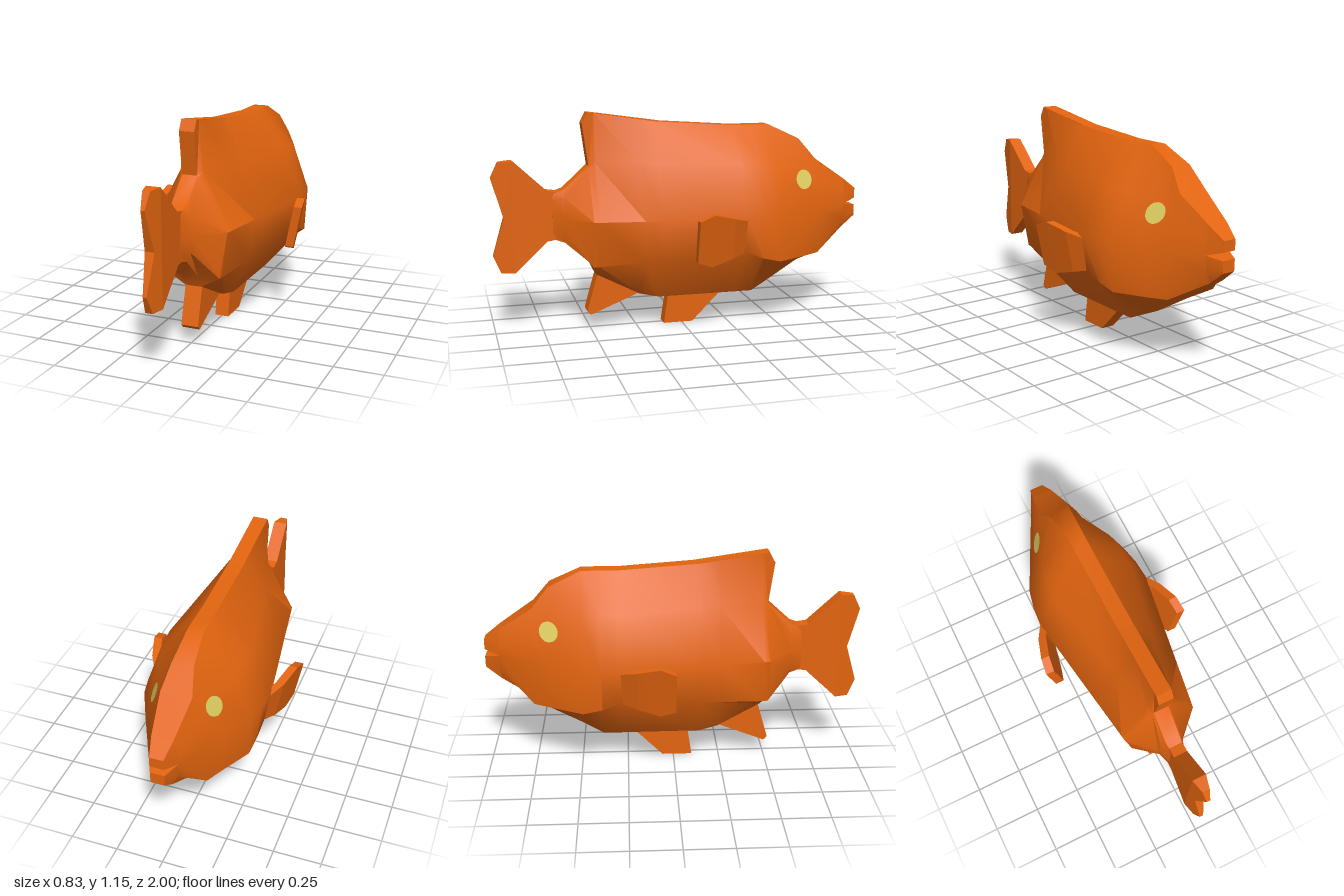
import * as THREE from 'three';
import { toCreasedNormals } from 'three/addons/utils/BufferGeometryUtils.js';

const scales = new THREE.MeshStandardMaterial({ color: 0xe2640f });
scales.name = 'orangeScales';
const eyeYellow = new THREE.MeshStandardMaterial({ color: 0xdccb60, side: THREE.DoubleSide });
eyeYellow.name = 'eyeYellow';

// Skin a list of closed rings of [x, y, z] points, ordered by rising z
function loft(rings, crease) {
  const n = rings[0].length, index = [];
  for (let k = 0; k < rings.length - 1; k++) {
    for (let i = 0; i < n; i++) {
      const a = k * n + i, c = k * n + (i + 1) % n;
      index.push(a, a + n, c, c, a + n, c + n);
    }
  }
  const last = (rings.length - 1) * n;
  for (let i = 1; i < n - 1; i++) {
    index.push(0, i, i + 1, last, last + i + 1, last + i);
  }
  const g = new THREE.BufferGeometry();
  g.setAttribute('position', new THREE.Float32BufferAttribute(rings.flat(2), 3));
  g.setIndex(index);
  return toCreasedNormals(g, crease);
}

// Full ring from the +x half of a cross-section, listed from top to bottom
function ring(z, half) {
  const left = half.map(([x, y]) => [x, y, z]);
  return [...left, ...left.map(([x, y]) => [-x, y, z]).reverse()];
}

// Upright slab cut from a [z, y] outline, halfWidth either side of the middle
function slab(outline, halfWidth) {
  const shape = new THREE.Shape(outline.map(([z, y]) => new THREE.Vector2(-z, y)));
  const g = new THREE.ExtrudeGeometry(shape, { depth: 2 * halfWidth, bevelEnabled: false });
  return g.translate(0, 0, -halfWidth).rotateY(Math.PI / 2);
}

export function createModel() {
  const model = new THREE.Group();
  model.name = 'fish';
  const add = (name, geometry, material = scales) => {
    const mesh = new THREE.Mesh(geometry, material);
    mesh.name = name;
    model.add(mesh);
  };

  // Body stations: z, ridge x y, shoulder x y, flank x, lower edge x y, belly x y
  const stations = [
    [-0.92, 0.055, 0.76, 0.07, 0.69, 0.075, 0.065, 0.54, 0.04, 0.48],
    [-0.74, 0.08, 0.88, 0.125, 0.76, 0.165, 0.145, 0.37, 0.05, 0.365],
    [-0.65, 0.055, 0.99, 0.12, 0.84, 0.21, 0.185, 0.365, 0.06, 0.315],
    [-0.48, 0.04, 1.07, 0.2, 0.86, 0.29, 0.275, 0.365, 0.08, 0.22],
    [-0.38, 0.04, 1.07, 0.215, 0.88, 0.312, 0.285, 0.39, 0.09, 0.165],
    [-0.28, 0.04, 1.07, 0.22, 0.88, 0.32, 0.29, 0.43, 0.09, 0.165],
    [0.14, 0.04, 1.1, 0.14, 0.88, 0.255, 0.222, 0.395, 0.085, 0.165],
    [0.24, 0.04, 1.115, 0.115, 0.89, 0.24, 0.205, 0.387, 0.07, 0.185],
    [0.47, 0.04, 1.15, 0.06, 0.9, 0.205, 0.16, 0.367, 0.045, 0.3],
    [0.5, 0.04, 0.88, 0.05, 0.87, 0.2, 0.155, 0.367, 0.04, 0.363],
    [0.63, 0.04, 0.76, 0.06, 0.72, 0.07, 0.06, 0.53, 0.04, 0.48],
    [0.69, 0.035, 0.74, 0.038, 0.7, 0.04, 0.038, 0.55, 0.035, 0.5],
  ];
  add('body', loft(stations.map(([z, rx, ry, sx, sy, fx, ex, ey, bx, by]) =>
    ring(z, [[rx, ry], [sx, sy], [fx, 0.61], [ex, ey], [bx, by]])), 0.6));

  // Jaws either side of the open mouth
  add('upperJaw', loft([
    ring(-1, [[0.035, 0.7], [0.036, 0.67], [0.036, 0.645]]),
    ring(-0.92, [[0.055, 0.76], [0.07, 0.69], [0.075, 0.62]]),
  ], 0.6));
  add('lowerJaw', loft([
    ring(-1, [[0.036, 0.605], [0.036, 0.575], [0.035, 0.545]]),
    ring(-0.92, [[0.075, 0.62], [0.065, 0.54], [0.04, 0.48]]),
  ], 0.6));

  // Fins on the centre line
  add('dorsalFin', slab([[-0.05, 1], [-0.05, 1.075], [0.5, 1.155], [0.53, 1.1], [0.5, 0.88], [0.3, 0.88]], 0.04));
  add('pelvicFin', slab([[-0.23, 0.17], [-0.06, 0], [0.1, 0], [0.07, 0.2], [-0.23, 0.2]], 0.038));
  add('analFin', slab([[0.2, 0.2], [0.5, 0.08], [0.52, 0.1], [0.46, 0.31], [0.3, 0.31]], 0.046));

  // Tail: an even root, then lobes thinning to the trailing edge
  add('tailRoot', slab([[0.65, 0.5], [0.72, 0.49], [0.89, 0.33],
    [0.89, 0.915], [0.72, 0.755], [0.65, 0.745]], 0.037));
  const lobes = slab([[0.89, 0.33], [0.96, 0.33], [1, 0.42], [0.94, 0.62],
    [1, 0.83], [0.96, 0.91], [0.89, 0.915]], 1);
  const p = lobes.attributes.position;
  for (let i = 0; i < p.count; i++) {
    const t = (p.getZ(i) - 0.89) / 0.11;
    p.setX(i, p.getX(i) * THREE.MathUtils.lerp(0.037, 0.01, t));
  }
  lobes.computeVertexNormals();
  add('tailLobes', lobes);

  // Paired side fins and eyes
  for (const side of [1, -1]) {
    const name = side > 0 ? 'left' : 'right';

    // Slanted plate: z, top y, bottom y, outer x
    const fin = [[-0.29, 0.6, 0.43, 0.32], [-0.2, 0.625, 0.408, 0.367],
      [-0.08, 0.657, 0.376, 0.397], [0, 0.628, 0.408, 0.413]];
    add(name + 'PectoralFin', loft(fin.map(([z, top, bottom, x]) => {
      const lean = (y) => x - 0.2 * (0.63 - y);
      const pts = [[lean(top), top, z], [lean(bottom), bottom, z],
        [lean(bottom) - 0.045, bottom, z], [lean(top) - 0.045, top, z]];
      return side > 0 ? pts : pts.map(([px, y, pz]) => [-px, y, pz]).reverse();
    }), 0.2));

    // Eye disc laid on the slope of the cheek
    const eye = new THREE.CircleGeometry(0.05, 16);
    const e = eye.attributes.position;
    for (let i = 0; i < e.count; i++) {
      const u = e.getX(i) * side, v = e.getY(i);
      e.setXYZ(i, side * (0.154 - 0.37 * u - 0.41 * v), 0.78 + v, -0.65 - u);
    }
    eye.computeVertexNormals();
    add(name + 'Eye', eye, eyeYellow);
  }
  return model;
}
